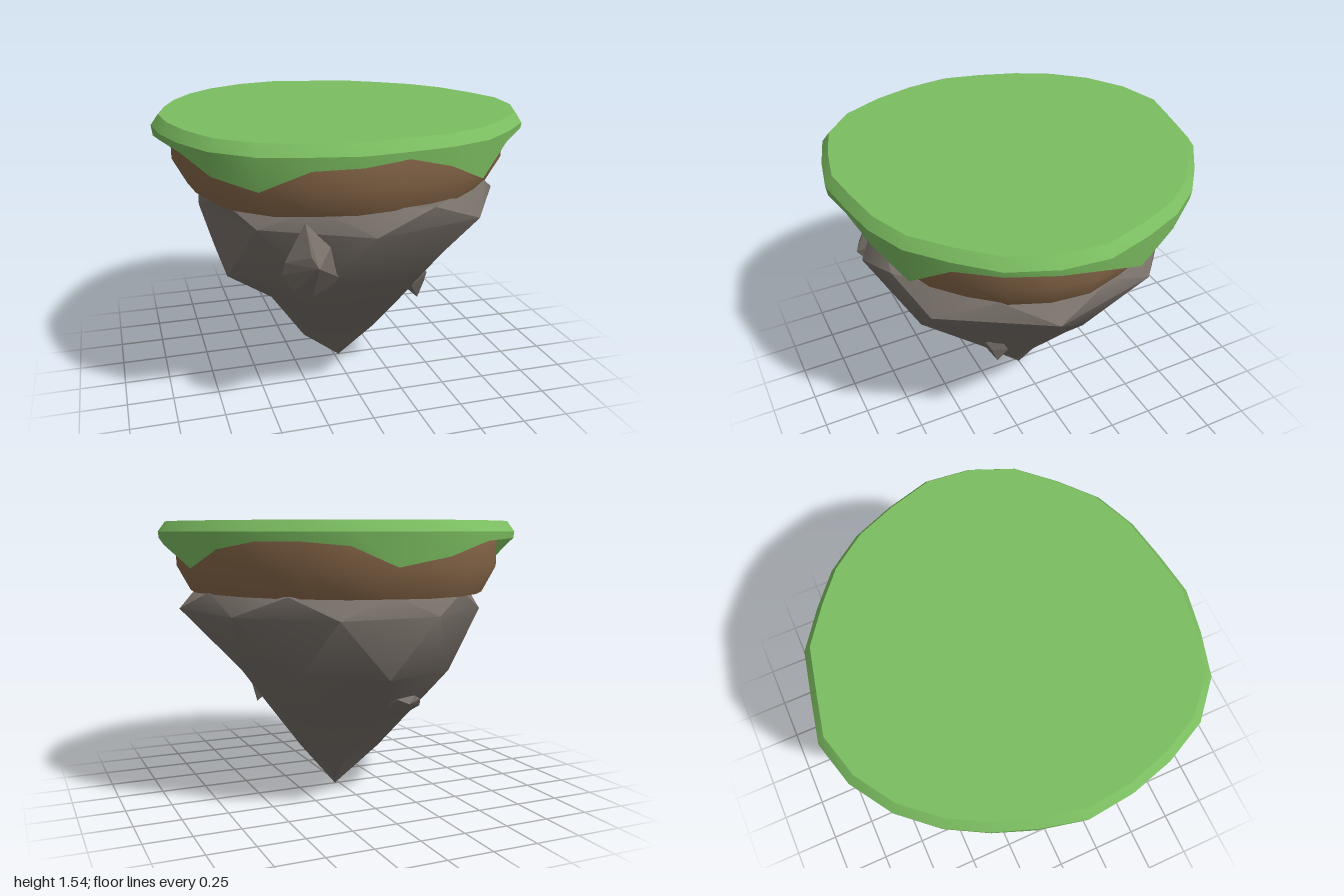
import * as THREE from 'three';
import { toCreasedNormals } from 'three/addons/utils/BufferGeometryUtils.js';
import { ConvexGeometry } from 'three/addons/geometries/ConvexGeometry.js';

// Island outline [x, z] with the height of the hanging grass hem at each point
const outline = [
  [-0.15, -1, 1.37], [0.1, -0.95, 1.32], [0.33, -0.9, 1.42], [0.53, -0.76, 1.44], [0.7, -0.62, 1.44],
  [0.84, -0.43, 1.4], [0.93, -0.21, 1.3], [1, 0.03, 1.415], [0.975, 0.27, 1.45], [0.88, 0.5, 1.455],
  [0.71, 0.68, 1.43], [0.53, 0.835, 1.29], [0.31, 0.925, 1.39], [0.08, 0.965, 1.45], [-0.15, 0.995, 1.43],
  [-0.38, 0.95, 1.42], [-0.615, 0.88, 1.32], [-0.8, 0.715, 1.365], [-0.91, 0.49, 1.44], [-0.975, 0.26, 1.45],
  [-1, 0.02, 1.43], [-0.945, -0.21, 1.34], [-0.87, -0.42, 1.42], [-0.76, -0.62, 1.45], [-0.6, -0.8, 1.45],
  [-0.39, -0.935, 1.44],
];
const outlineRing = (scale, y) => outline.map(([x, z]) => [x * scale, y, z * scale]);

// Ring of evenly turned points, each with its own radius
const radialRing = (y, startDegrees, radii) => radii.map((r, i) => {
  const a = THREE.MathUtils.degToRad(startDegrees + (i * 360) / radii.length);
  return [r * Math.cos(a), y, r * Math.sin(a)];
});

// Skin over rings listed from top to bottom, with optional fans to end points
function loft(rings, top, bottom, crease = 0.5) {
  const n = rings[0].length;
  const pos = rings.flat(2);
  const idx = [];
  for (let r = 0; r < rings.length - 1; r++) {
    for (let i = 0; i < n; i++) {
      const j = (i + 1) % n, a = r * n + i, b = r * n + j;
      idx.push(a, b, a + n, b, b + n, a + n);
    }
  }
  const fan = (point, base, flip) => {
    const c = pos.length / 3;
    pos.push(...point);
    for (let i = 0; i < n; i++) {
      const a = base + i, b = base + (i + 1) % n;
      idx.push(c, flip ? a : b, flip ? b : a);
    }
  };
  if (top) fan(top, 0, false);
  if (bottom) fan(bottom, (rings.length - 1) * n, true);
  const g = new THREE.BufferGeometry();
  g.setAttribute('position', new THREE.Float32BufferAttribute(pos, 3));
  g.setIndex(idx);
  return toCreasedNormals(g, crease);
}

export function createModel() {
  const grass = new THREE.MeshStandardMaterial({ color: 0x7bbd60, side: THREE.DoubleSide });
  grass.name = 'grass green';
  const dirt = new THREE.MeshStandardMaterial({ color: 0x8a694a });
  dirt.name = 'dirt brown';
  const rock = new THREE.MeshStandardMaterial({ color: 0x787069 });
  rock.name = 'rock grey';

  const group = new THREE.Group();
  group.name = 'floatingIsland';
  const add = (name, geometry, material) => {
    const mesh = new THREE.Mesh(geometry, material);
    mesh.name = name;
    group.add(mesh);
  };

  // Grass slab with a bevelled rim
  add('grassTop', loft([outlineRing(0.96, 1.54), outlineRing(1, 1.485), outlineRing(0.99, 1.47)],
    [0, 1.54, 0], [0, 1.47, 0]), grass);

  // Grass hanging over the edge in pointed lobes
  const hem = outline.map(([x, z, y]) => {
    const s = 1 - (1.485 - y) * 0.13;
    return [x * s, y, z * s];
  });
  add('grassFringe', loft([outlineRing(1, 1.485), hem], null, null, 0.7), grass);

  // Soil layer, narrowing at the bottom
  add('dirtLayer', loft([outlineRing(0.905, 1.465), outlineRing(0.905, 1.3), outlineRing(0.83, 1.16)],
    [0, 1.465, 0], [0, 1.16, 0], 0.7), dirt);

  // Nine-sided rock tapering to a point, each ring turned half a step from the one above
  add('rockBase', loft([
    radialRing(1.17, -8, [0.8, 0.84, 0.87, 0.77, 0.81, 0.77, 0.75, 0.74, 0.78]),
    radialRing(1.06, 13, [0.905, 0.92, 0.89, 0.835, 0.79, 0.8, 0.79, 0.83, 0.84]),
    radialRing(0.74, 32, [0.64, 0.72, 0.7, 0.78, 0.7, 0.68, 0.71, 0.66, 0.62]),
    radialRing(0.5, 53, [0.46, 0.47, 0.47, 0.43, 0.46, 0.39, 0.38, 0.43, 0.42]),
    radialRing(0.22, 72, [0.19, 0.18, 0.25, 0.24, 0.16, 0.13, 0.15, 0.17, 0.23]),
  ], [0, 1.17, 0], [0.025, 0, 0], 0.72), rock);

  // Faceted stones stuck in the rock face
  const stones = {
    frontStone: [[-0.36, 1.12, 0.74], [-0.24, 0.99, 0.76], [-0.16, 0.79, 0.68], [-0.17, 0.75, 0.65], [-0.31, 0.715, 0.69],
      [-0.41, 0.75, 0.7], [-0.47, 0.85, 0.7], [-0.46, 0.92, 0.72], [-0.32, 0.92, 0.85], [-0.35, 0.97, 0.82], [-0.3, 0.9, 0.55]],
    sideStone: [[0.42, 0.65, 0.395], [0.43, 0.64, 0.32], [0.34, 0.57, 0.38], [0.4, 0.47, 0.32],
      [0.43, 0.56, 0.27], [0.42, 0.58, 0.36], [0.3, 0.56, 0.28]],
    backStone: [[-0.25, 0.6, -0.47], [-0.13, 0.59, -0.49], [-0.2, 0.56, -0.5], [-0.3, 0.57, -0.44], [-0.33, 0.52, -0.38],
      [-0.1, 0.54, -0.43], [-0.2, 0.46, -0.37], [-0.15, 0.47, -0.37], [-0.2, 0.55, -0.3]],
  };
  for (const [name, points] of Object.entries(stones)) {
    add(name, new ConvexGeometry(points.map((p) => new THREE.Vector3(...p))), rock);
  }
  return group;
}
